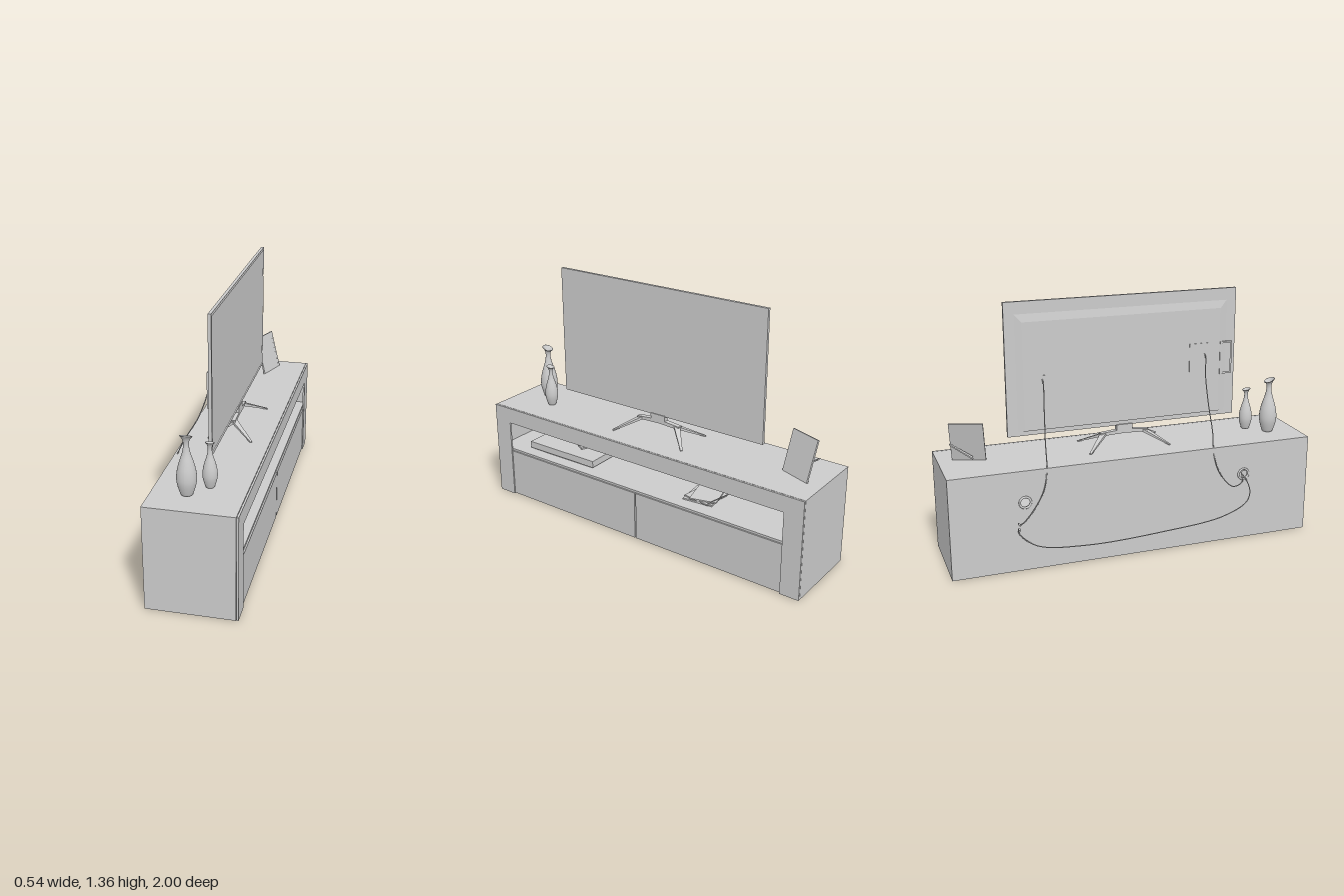
import * as THREE from 'three';

const grey = new THREE.MeshStandardMaterial({ color: 0xcccccc });
const thin = new THREE.MeshStandardMaterial({ color: 0xcccccc, side: THREE.DoubleSide });
const V = (x, y, z) => new THREE.Vector3(x, y, z);

function add(parent, name, geo, mat = grey) {
  const m = new THREE.Mesh(geo, mat);
  m.name = name;
  parent.add(m);
  return m;
}

function group(parent, name) {
  const g = new THREE.Group();
  g.name = name;
  parent.add(g);
  return g;
}

// Box given by its extents
function block(parent, name, x0, x1, y0, y1, z0, z1) {
  const m = add(parent, name, new THREE.BoxGeometry(x1 - x0, y1 - y0, z1 - z0));
  m.position.set((x0 + x1) / 2, (y0 + y1) / 2, (z0 + z1) / 2);
  return m;
}

// Flat plate standing across x, drawn in (z, y)
function plate(parent, name, points, holes, x0, x1) {
  const shape = new THREE.Shape(points.map(([z, y]) => new THREE.Vector2(-z, y)));
  shape.holes = holes;
  const geo = new THREE.ExtrudeGeometry(shape, { depth: x1 - x0, bevelEnabled: false, curveSegments: 24 });
  geo.rotateY(Math.PI / 2).translate(x0, 0, 0);
  return add(parent, name, geo);
}

const rect = (z0, z1, y0, y1) => [[z0, y0], [z1, y0], [z1, y1], [z0, y1]];
const rectHole = (...r) => new THREE.Path(rect(...r).map(([z, y]) => new THREE.Vector2(-z, y)));

// Bar between two points, tapering towards the end
function beam(parent, name, a, b, w, h, w2, h2) {
  const len = a.distanceTo(b);
  const geo = new THREE.BoxGeometry(1, 1, len);
  const p = geo.attributes.position;
  for (let i = 0; i < p.count; i++) {
    const end = p.getZ(i) > 0;
    p.setX(i, p.getX(i) * (end ? w2 : w));
    p.setY(i, p.getY(i) * (end ? h2 : h));
  }
  geo.computeVertexNormals();
  const m = add(parent, name, geo);
  m.position.copy(a).lerp(b, 0.5);
  m.lookAt(b);
  return m;
}

function cable(parent, name, pts) {
  const curve = new THREE.CatmullRomCurve3(pts.map(p => V(...p)));
  return add(parent, name, new THREE.TubeGeometry(curve, 90, 0.0028, 8));
}

// Cabinet: open underneath, with a long niche above two doors
function buildCabinet(root) {
  const c = group(root, 'cabinet');
  c.rotation.y = -0.007;
  block(c, 'top', -0.195, 0.248, 0.525, 0.545, -1, 1);
  for (const s of [-1, 1]) {
    block(c, 'sidePanel', -0.195, 0.248, 0, 0.525, s * 0.99 - 0.01, s * 0.99 + 0.01);
    block(c, 'door', 0.24, 0.254, 0.004, 0.276, s * 0.448 - 0.444, s * 0.448 + 0.444);
    const ring = add(c, 'cableGrommet', new THREE.TorusGeometry(0.029, 0.006, 10, 28));
    ring.rotation.y = Math.PI / 2;
    ring.position.set(-0.195, 0.375, s * 0.61);
  }
  block(c, 'shelf', -0.18, 0.246, 0.276, 0.288, -0.98, 0.98);
  const holes = [-0.61, 0.61].map(z => {
    const h = new THREE.Path();
    h.absarc(z, 0.375, 0.028, 0, Math.PI * 2);
    return h;
  });
  plate(c, 'backPanel', rect(-0.98, 0.98, 0, 0.525), holes, -0.195, -0.18);
  plate(c, 'frontFrame', [[-1, 0], [-0.893, 0], [-0.893, 0.455], [0.893, 0.455],
    [0.893, 0], [1, 0], [1, 0.545], [-1, 0.545]], [], 0.25, 0.26);
}

function buildTelevision(root) {
  const t = group(root, 'television');
  block(t, 'screenPanel', 0.03, 0.043, 0.657, 1.358, -0.638, 0.638);
  plate(t, 'bezel', rect(-0.64, 0.64, 0.655, 1.36), [rectHole(-0.625, 0.625, 0.675, 1.345)], 0.03, 0.046);
  // Back casing with sloping edges
  const geo = new THREE.BoxGeometry(0.01, 0.62, 1.18);
  const p = geo.attributes.position;
  for (let i = 0; i < p.count; i++) if (p.getX(i) < 0) {
    p.setZ(i, p.getZ(i) * 0.93);
    if (p.getY(i) > 0) p.setY(i, 0.265);
  }
  geo.computeVertexNormals();
  add(t, 'backCasing', geo).position.set(0.026, 0.99, 0);
  // Connector bays and power socket on the back
  const bay = (name, z, y, w, h, x) => {
    plate(t, name, rect(z - w / 2, z + w / 2, y - h / 2, y + h / 2),
      [rectHole(z - w / 2 + 0.01, z + w / 2 - 0.01, y - h / 2 + 0.01, y + h / 2 - 0.01)], x, x + 0.012);
  };
  bay('connectorBay', 0.43, 0.98, 0.12, 0.18, 0.018);
  bay('sideConnectorBay', 0.585, 0.98, 0.07, 0.18, 0.018);
  bay('powerSocket', -0.44, 0.95, 0.05, 0.045, 0.018);

  // Stand with two splayed feet each side
  const s = group(t, 'televisionStand');
  block(s, 'standNeck', 0.022, 0.05, 0.615, 0.66, -0.045, 0.045);
  for (const k of [-1, 1]) {
    beam(s, 'standArm', V(0.036, 0.622, 0), V(0.036, 0.613, k * 0.135), 0.028, 0.022, 0.026, 0.016);
    beam(s, 'frontFoot', V(0.036, 0.613, k * 0.115), V(0.152, 0.549, k * 0.225), 0.032, 0.016, 0.012, 0.006);
    beam(s, 'backFoot', V(0.036, 0.613, k * 0.115), V(-0.075, 0.549, k * 0.225), 0.032, 0.016, 0.012, 0.006);
  }
}

// Vase with a slanting lip
function buildVase(root, x, z, r, h, slant) {
  const outline = [[0.55, 0], [0.68, 0.04], [0.92, 0.17], [1, 0.28], [0.92, 0.42], [0.68, 0.57], [0.42, 0.7],
    [0.29, 0.81], [0.29, 0.88], [0.4, 0.94], [0.62, 0.98], [0.55, 0.985], [0.3, 0.93], [0.2, 0.86], [0.18, 0.7]];
  const smooth = new THREE.SplineCurve(outline.map(([a, b]) => new THREE.Vector2(a * r, b * h))).getPoints(56);
  const geo = new THREE.LatheGeometry([new THREE.Vector2(0, 0), ...smooth, new THREE.Vector2(0, h * 0.68)], 36);
  const p = geo.attributes.position;
  for (let i = 0; i < p.count; i++) {
    const k = Math.max(0, p.getY(i) / h - 0.85) / 0.15;
    p.setY(i, p.getY(i) + p.getZ(i) * k * slant);
  }
  geo.computeVertexNormals();
  add(root, 'vase', geo, thin).position.set(x, 0.545, z);
}

// Leaning picture frame with a back strut
function buildPictureFrame(root) {
  const g = group(root, 'pictureFrame');
  g.position.set(0.068, 0.547, -0.838);
  g.rotation.y = -0.35;
  const f = group(g, 'leaningFrame');
  f.rotation.z = 0.27;
  plate(f, 'frameBorder', rect(-0.088, 0.088, 0, 0.22), [rectHole(-0.074, 0.074, 0.014, 0.206)], -0.006, 0.004);
  block(f, 'picture', -0.004, 0.001, 0.01, 0.21, -0.078, 0.078);
  beam(g, 'strut', V(-0.04, 0.13, -0.01), V(-0.085, 0.003, -0.045), 0.026, 0.006, 0.04, 0.006);
}

// Things lying in the niche
function buildNicheItems(root) {
  const p = group(root, 'mediaPlayer');
  block(p, 'playerBody', -0.06, 0.18, 0.296, 0.334, 0.35, 0.81);
  block(p, 'playerBase', -0.05, 0.17, 0.288, 0.296, 0.37, 0.79);
  beam(p, 'remoteControl', V(0.02, 0.362, 0.62), V(0.08, 0.34, 0.49), 0.04, 0.01, 0.04, 0.01);
  const m = group(root, 'magazines');
  m.position.set(0.09, 0.288, -0.35);
  [[0.008, 0.1, 0], [0.007, -0.15, 0.009], [0.007, 0.25, 0.017]].forEach(([h, a, y], i) => {
    const b = add(m, 'magazine', new THREE.BoxGeometry(0.16, h, 0.17 - i * 0.012));
    b.position.set(0, y + h / 2, 0.02 - i * 0.01);
    b.rotation.y = a;
  });
  beam(m, 'openCover', V(0, 0.026, -0.03), V(0.03, 0.006, -0.11), 0.14, 0.002, 0.14, 0.002);
}

function buildCables(root) {
  const g = group(root, 'cables');
  cable(g, 'powerCable', [[0.022, 0.95, -0.45], [-0.01, 0.935, -0.453], [-0.04, 0.82, -0.46], [-0.12, 0.67, -0.48],
    [-0.19, 0.52, -0.495], [-0.202, 0.42, -0.52], [-0.207, 0.31, -0.59], [-0.21, 0.265, -0.64],
    [-0.23, 0.283, -0.66], [-0.258, 0.285, -0.66]]);
  cable(g, 'signalCable', [[0.022, 1.01, 0.46], [-0.005, 0.995, 0.455], [-0.02, 0.9, 0.45], [-0.07, 0.76, 0.447],
    [-0.15, 0.62, 0.44], [-0.2, 0.5, 0.43], [-0.222, 0.4, 0.46], [-0.235, 0.325, 0.53],
    [-0.225, 0.34, 0.59], [-0.17, 0.375, 0.61]]);
  cable(g, 'hangingCable', [[-0.17, 0.37, 0.61], [-0.22, 0.35, 0.615], [-0.262, 0.3, 0.62], [-0.268, 0.24, 0.6],
    [-0.25, 0.165, 0.47], [-0.235, 0.12, 0.12], [-0.226, 0.105, -0.3], [-0.222, 0.14, -0.56],
    [-0.21, 0.21, -0.65], [-0.222, 0.25, -0.66], [-0.258, 0.258, -0.66]]);
  for (const y of [0.285, 0.258]) {
    const plug = add(g, 'plug', new THREE.CylinderGeometry(0.004, 0.006, 0.018, 10));
    plug.rotation.z = Math.PI / 2;
    plug.position.set(-0.256, y, -0.66);
  }
}

export function createModel() {
  const root = new THREE.Group();
  root.name = 'televisionCabinet';
  buildCabinet(root);
  buildTelevision(root);
  buildVase(root, -0.028, 0.835, 0.048, 0.3, 0.4);
  buildVase(root, 0.06, 0.74, 0.036, 0.232, 0.25);
  buildPictureFrame(root);
  buildNicheItems(root);
  buildCables(root);
  return root;
}
